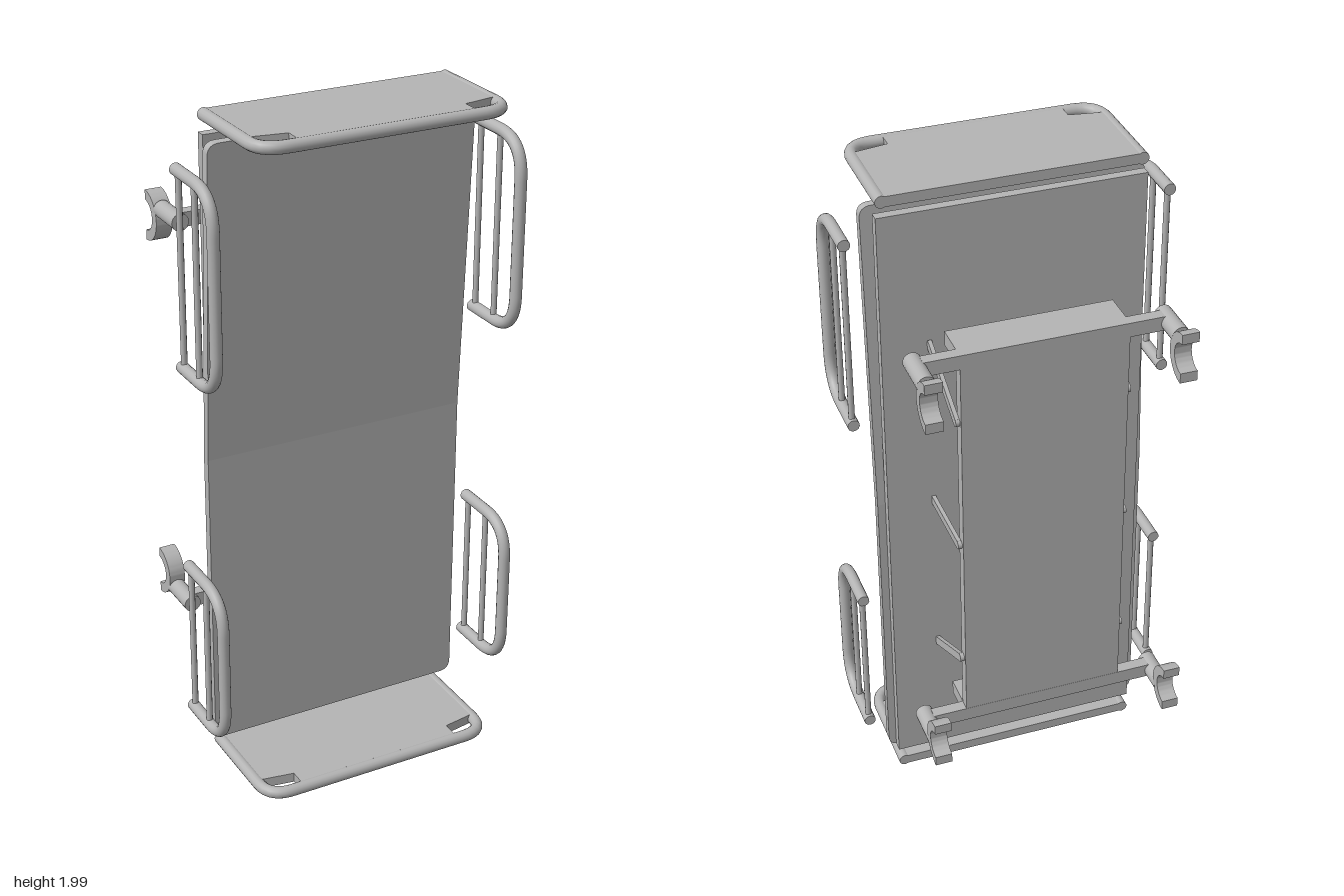
import * as THREE from 'three';
import { toCreasedNormals } from 'three/addons/utils/BufferGeometryUtils.js';

const grey = new THREE.MeshStandardMaterial({ color: 0xb4b4b4 });
grey.name = 'grey metal';

function add(parent, name, geometry, x = 0, y = 0, z = 0) {
  const mesh = new THREE.Mesh(geometry, grey);
  mesh.name = name;
  mesh.position.set(x, y, z);
  parent.add(mesh);
  return mesh;
}

const box = (w, h, d) => new THREE.BoxGeometry(w, h, d);

// U-shaped tube whose two ends both point to -z, closed by thin discs
function addBentTube(parent, name, a, b, c, d, bend, radius) {
  const toward = (p, q) => p.clone().add(q.clone().sub(p).setLength(bend));
  const path = new THREE.CurvePath();
  path.add(new THREE.LineCurve3(a, toward(b, a)));
  path.add(new THREE.QuadraticBezierCurve3(toward(b, a), b, toward(b, c)));
  path.add(new THREE.LineCurve3(toward(b, c), toward(c, b)));
  path.add(new THREE.QuadraticBezierCurve3(toward(c, b), c, toward(c, d)));
  path.add(new THREE.LineCurve3(toward(c, d), d));
  add(parent, name, new THREE.TubeGeometry(path, 72, radius, 14));
  for (const end of [a, d]) {
    const disc = new THREE.CylinderGeometry(radius, radius, 0.006, 14).rotateX(Math.PI / 2);
    add(parent, name + 'Cap', disc, end.x, end.y, end.z + 0.003);
  }
}

// Mattress section hanging down (dir -1) or rising (dir 1) from y = 0, outer corners rounded
function mattressGeometry(length, dir) {
  const w = 0.405, r = 0.035, y = dir * length, yr = dir * (length - r);
  const s = new THREE.Shape();
  s.moveTo(-w, 0);
  s.lineTo(w, 0);
  s.lineTo(w, yr);
  s.quadraticCurveTo(w, y, w - r, y);
  s.lineTo(-w + r, y);
  s.quadraticCurveTo(-w, y, -w, yr);
  s.closePath();
  const g = new THREE.ExtrudeGeometry(s, { depth: 0.027, bevelEnabled: false, curveSegments: 8 });
  return toCreasedNormals(g, 0.6);
}

// Head or foot board: bent tube with a panel that leaves hand holes in the corners
function makeEndBoard(name, y) {
  const board = new THREE.Group();
  board.name = name;
  board.position.y = y;
  const v = (x, z) => new THREE.Vector3(x, 0, z);
  addBentTube(board, 'boardTube', v(-0.365, 0.01), v(-0.365, 0.349), v(0.365, 0.349), v(0.365, 0.01), 0.075, 0.018);
  const outline = [[-0.365, 0.01], [0.365, 0.01], [0.365, 0.278], [0.26, 0.296],
    [0.26, 0.345], [-0.26, 0.345], [-0.26, 0.296], [-0.365, 0.278]];
  const shape = new THREE.Shape(outline.map(([x, z]) => new THREE.Vector2(x, z)));
  const panel = new THREE.ExtrudeGeometry(shape, { depth: 0.03, bevelEnabled: false });
  add(board, 'boardPanel', panel.rotateX(Math.PI / 2), 0, 0.015, 0);
  return board;
}

// Side rail: bent tube with two thin upright bars
function makeSideRail(name, x, y0, y1) {
  const rail = new THREE.Group();
  rail.name = name;
  rail.position.x = x;
  const v = (y, z) => new THREE.Vector3(0, y, z);
  const low = y0 + 0.0175, high = y1 - 0.0175;
  addBentTube(rail, 'railTube', v(low, 0.04), v(low, 0.267), v(high, 0.267), v(high, 0.04), 0.11, 0.0175);
  for (const z of [0.157, 0.058]) {
    add(rail, 'railBar', new THREE.CylinderGeometry(0.009, 0.009, high - low, 10), 0, (low + high) / 2, z);
  }
  return rail;
}

// Flat strut with a rounded rear end, running from the chassis to the bed base
function addStrut(parent, x, yRear, yFront) {
  const z0 = -0.215, z1 = 0.014;
  const dy = yFront - yRear, dz = z1 - z0;
  const bar = add(parent, 'strut', box(0.012, 0.025, Math.hypot(dy, dz)), x, (yRear + yFront) / 2, (z0 + z1) / 2);
  bar.rotation.x = -Math.atan2(dy, dz);
  const pivot = new THREE.CylinderGeometry(0.0125, 0.0125, 0.012, 14).rotateZ(Math.PI / 2);
  add(parent, 'strutPivot', pivot, x, yRear, z0);
}

// Half ring opening toward -z
function clawGeometry() {
  const s = new THREE.Shape();
  s.absarc(0, 0, 0.075, -Math.PI / 2, Math.PI / 2, false);
  s.absarc(0, 0, 0.045, Math.PI / 2, -Math.PI / 2, true);
  s.closePath();
  const g = new THREE.ExtrudeGeometry(s, { depth: 0.05, bevelEnabled: false, curveSegments: 18 });
  g.translate(0, 0, -0.025).rotateY(-Math.PI / 2);
  return toCreasedNormals(g, 0.6);
}

export function createModel() {
  const bed = new THREE.Group();
  bed.name = 'adjustableBed';

  // Base board and two-part mattress, the back section leaning forward
  add(bed, 'bedBase', box(0.765, 1.865, 0.029), 0, 1.003, 0.0265);
  add(bed, 'lowerMattress', mattressGeometry(0.93, -1), 0, 1, 0.042);
  add(bed, 'backrestMattress', mattressGeometry(0.936, 1), 0, 1, 0.042).rotation.x = 0.05;

  bed.add(makeEndBoard('headBoard', 1.981), makeEndBoard('footBoard', 0.023));

  for (const side of [-1, 1]) {
    bed.add(makeSideRail('upperSideRail', side * 0.4625, 1.272, 1.873));
    bed.add(makeSideRail('lowerSideRail', side * 0.4625, 0.176, 0.682));
  }

  // Chassis: plate with flanges, cross bars, struts and wheel arms
  const chassis = new THREE.Group();
  chassis.name = 'chassis';
  bed.add(chassis);
  add(chassis, 'chassisPlate', box(0.48, 1.22, 0.035), 0, 1, -0.2185);
  for (const end of [-1, 1]) {
    const y = 1 + end * 0.613;
    add(chassis, 'flange', box(0.48, 0.043, 0.095), 0, y, -0.1535);
    add(chassis, 'crossBar', box(0.68, 0.043, 0.036), 0, y, -0.2185);
    for (const side of [-1, 1]) {
      const arm = new THREE.CylinderGeometry(0.026, 0.026, 0.125, 20).rotateX(Math.PI / 2);
      add(chassis, 'wheelArm', arm, side * 0.355, y, -0.2465);
      add(chassis, 'wheelFork', clawGeometry(), side * 0.355, 1 + end * 0.58, -0.37);
    }
  }
  for (const side of [-1, 1]) {
    addStrut(chassis, side * 0.246, 1.415, 1.53);
    addStrut(chassis, side * 0.246, 1.004, 1.004);
    addStrut(chassis, side * 0.246, 0.593, 0.478);
  }
  return bed;
}
